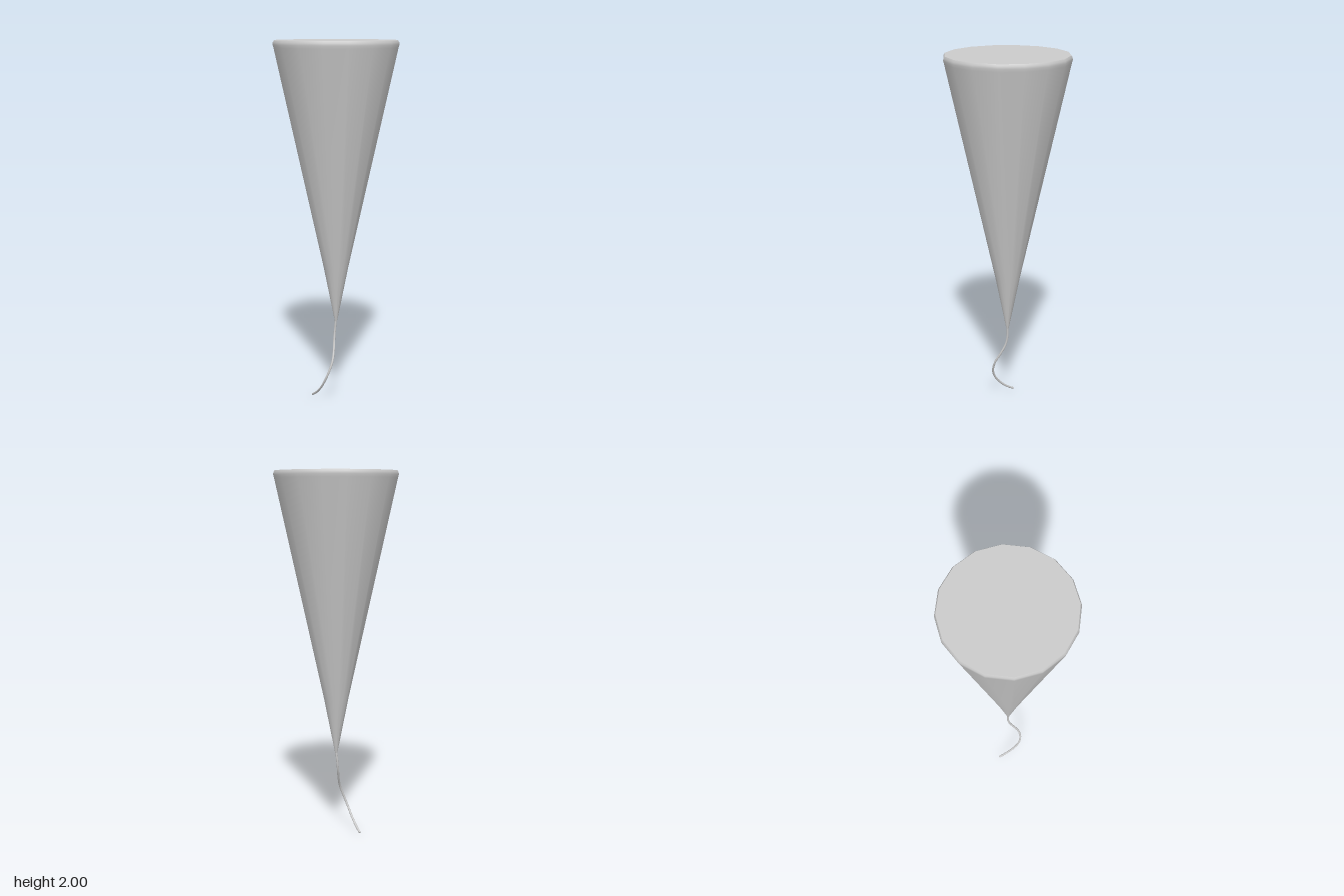
import * as THREE from 'three';

const v2 = (x, y) => new THREE.Vector2(x, y);

export function createModel() {
  const model = new THREE.Group();
  const material = new THREE.MeshStandardMaterial({ color: 0xcccccc });
  const add = (name, geometry) => {
    const mesh = new THREE.Mesh(geometry, material);
    mesh.name = name;
    model.add(mesh);
    return mesh;
  };

  // Tapered sixteen-sided cone, narrowing to a point, with a small bevelled rim
  const profile = [
    v2(0, 0.45), v2(0.006, 0.455), v2(0.069, 0.77), v2(0.332, 1.96),
    v2(0.336, 1.975), v2(0.335, 1.988), v2(0.329, 1.998),
  ];
  add('cone', new THREE.LatheGeometry(profile, 16));

  // Flat lid closing the wide end
  const lid = new THREE.CircleGeometry(0.329, 16).rotateX(-Math.PI / 2);
  add('lid', lid).position.y = 1.998;

  // Thin string curling down from the tip
  const path = new THREE.CatmullRomCurve3([
    [0, 0.47, 0], [-0.005, 0.4, 0.004], [-0.002, 0.35, 0.015],
    [0.01, 0.3, 0.037], [0.021, 0.24, 0.069], [0.01, 0.18, 0.091],
    [-0.012, 0.13, 0.095], [-0.047, 0.08, 0.083], [-0.09, 0.038, 0.062],
    [-0.133, 0.008, 0.04],
  ].map((p) => new THREE.Vector3(...p)));
  const radius = 0.006;
  add('string', new THREE.TubeGeometry(path, 40, radius, 8));

  // Cap on the loose end of the string
  const end = add('stringEnd', new THREE.CircleGeometry(radius, 8));
  end.position.copy(path.getPoint(1));
  end.lookAt(path.getPoint(1).add(path.getTangent(1)));

  return model;
}
